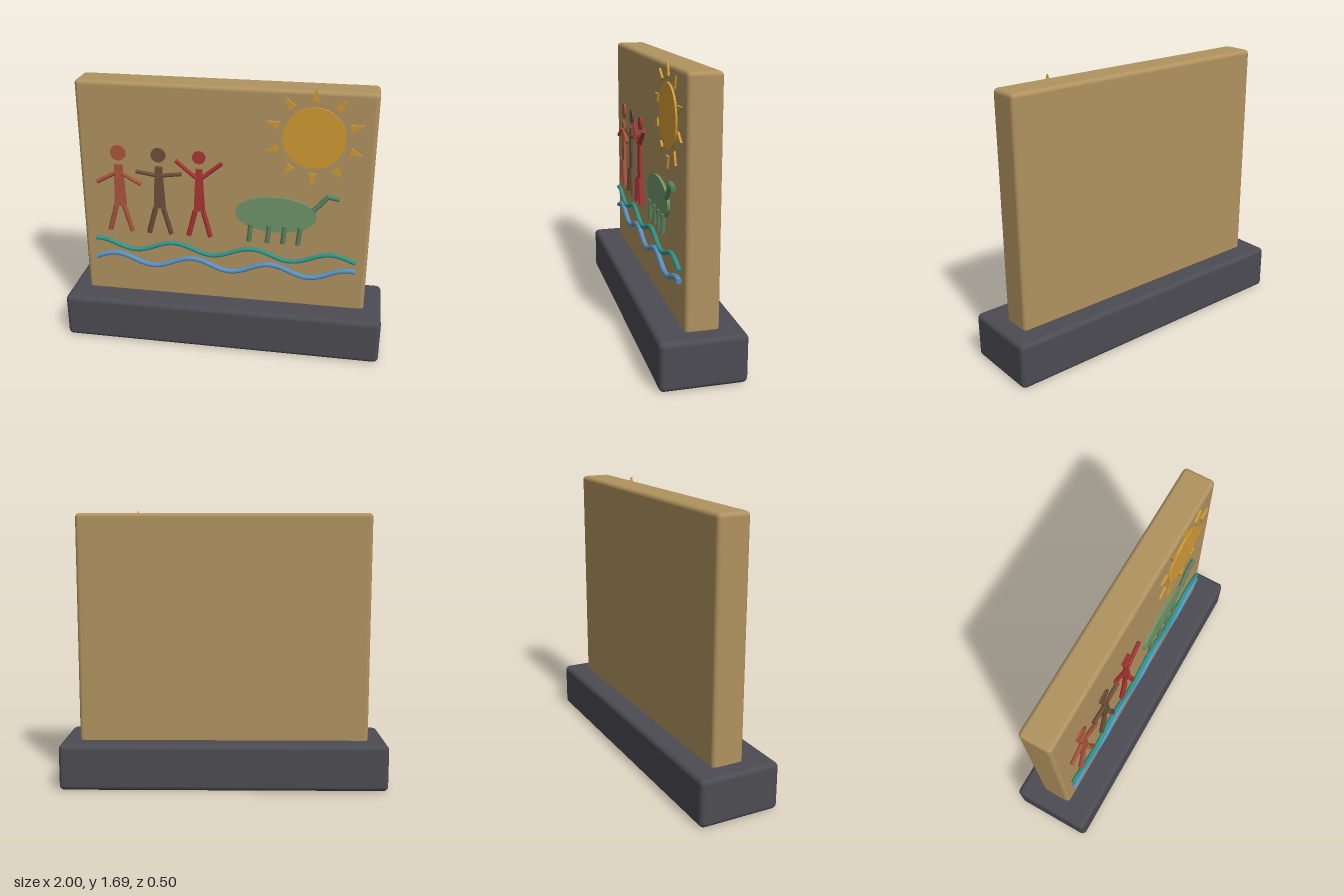
import * as THREE from 'three';
import { RoundedBoxGeometry } from 'three/addons/geometries/RoundedBoxGeometry.js';

const FACE = 0.08;    // front face of the slab
const RELIEF = 0.095; // centre depth of the raised rods

const paint = (color) => new THREE.MeshStandardMaterial({ color, roughness: 0.8 });

function add(parent, name, geometry, material, x = 0, y = 0, z = 0) {
  const mesh = new THREE.Mesh(geometry, material);
  mesh.name = name;
  mesh.position.set(x, y, z);
  parent.add(mesh);
  return mesh;
}

// Round rod between two points on the picture plane
function rod(parent, name, a, b, radius, material, endRadius = radius) {
  const dx = b[0] - a[0], dy = b[1] - a[1];
  const geometry = new THREE.CylinderGeometry(endRadius, radius, Math.hypot(dx, dy), 8);
  const mesh = add(parent, name, geometry, material, (a[0] + b[0]) / 2, (a[1] + b[1]) / 2, RELIEF);
  mesh.rotation.z = Math.atan2(dy, dx) - Math.PI / 2;
  return mesh;
}

// Flat disc or oval standing on the slab face
function disc(parent, name, x, y, rx, ry, thickness, material) {
  const geometry = new THREE.CylinderGeometry(1, 1, thickness, 32);
  geometry.rotateX(Math.PI / 2);
  geometry.scale(rx, ry, 1);
  return add(parent, name, geometry, material, x, y, FACE + thickness / 2);
}

// Flat plate cut from a polygon
function plate(parent, name, points, thickness, material) {
  const shape = new THREE.Shape(points.map(([x, y]) => new THREE.Vector2(x, y)));
  const geometry = new THREE.ExtrudeGeometry(shape, { depth: thickness, bevelEnabled: false });
  return add(parent, name, geometry, material, 0, 0, FACE);
}

function person({ x, color, head, neck, hip, hand, foot }) {
  const group = new THREE.Group();
  group.name = 'dancer';
  group.position.x = x;
  const material = paint(color);
  disc(group, 'head', 0, 1.232, head, head, 0.012, material);
  plate(group, 'torso', [[-hip, 0.885], [hip, 0.885], [neck, 1.158], [-neck, 1.158]], 0.018, material);
  for (const s of [-1, 1]) {
    rod(group, 'arm', [s * 0.018, 1.105], [s * hand[0], hand[1]], 0.013, material);
    rod(group, 'leg', [s * 0.024, 0.89], [s * foot, 0.718], 0.016, material);
  }
  return group;
}

function sun() {
  const group = new THREE.Group();
  group.name = 'sun';
  group.position.set(0.533, 1.393, 0);
  const material = paint(0xd09a35);
  disc(group, 'sunDisc', 0, 0, 0.184, 0.184, 0.012, material);
  for (let i = 0; i < 10; i++) {
    const ray = plate(group, 'sunRay', [[-0.024, 0.219], [0.024, 0.219], [0, 0.294]], 0.012, material);
    ray.rotation.z = (i / 10) * Math.PI * 2;
  }
  return group;
}

function animal() {
  const group = new THREE.Group();
  group.name = 'animal';
  const material = paint(0x6f9468), limb = paint(0x5d8460);
  disc(group, 'animalBody', 0.325, 0.895, 0.246, 0.115, 0.016, material);
  for (const x of [0.175, 0.288, 0.383, 0.476]) {
    rod(group, 'animalLeg', [x - 0.011, 0.707], [x, 0.825], 0.015, limb);
  }
  rod(group, 'animalNeck', [0.55, 0.94], [0.635, 1.04], 0.016, limb);
  rod(group, 'animalHead', [0.628, 1.04], [0.7, 1.026], 0.017, limb);
  return group;
}

// Capped tube following a sine wave across the slab
function wave(parent, name, y, amplitude, crest, radius, color) {
  const points = [], start = -0.815, end = 0.82;
  for (let i = 0; i <= 40; i++) {
    const x = start + ((end - start) * i) / 40;
    points.push(new THREE.Vector3(x, y + amplitude * Math.cos((2 * Math.PI * (x - crest)) / 0.49), RELIEF));
  }
  const material = paint(color);
  const curve = new THREE.CatmullRomCurve3(points);
  add(parent, name, new THREE.TubeGeometry(curve, 80, radius, 8), material);
  for (const t of [0, 1]) {
    const p = curve.getPoint(t), out = curve.getTangent(t).multiplyScalar(t ? 1 : -1);
    const cap = add(parent, name + 'End', new THREE.CircleGeometry(radius, 8), material, p.x, p.y, p.z);
    cap.quaternion.setFromUnitVectors(new THREE.Vector3(0, 0, 1), out);
  }
}

export function createModel() {
  const model = new THREE.Group();
  model.name = 'paintedStoneTablet';

  // Plinth and upright slab
  add(model, 'base', new RoundedBoxGeometry(2, 0.285, 0.495, 3, 0.03), paint(0x4b4b52), 0, 0.1425, 0);
  add(model, 'slab', new RoundedBoxGeometry(1.78, 1.41, 0.195, 3, 0.025), paint(0xb0925f), 0, 0.965, FACE - 0.0975);

  // Raised picture
  model.add(sun(), animal());
  const dancers = [
    { x: -0.643, color: 0xa8553d, head: 0.048, neck: 0.024, hip: 0.038, hand: [0.14, 1.037], foot: 0.072 },
    { x: -0.393, color: 0x6d4e3a, head: 0.045, neck: 0.021, hip: 0.036, hand: [0.14, 1.122], foot: 0.07 },
    { x: -0.144, color: 0xa83434, head: 0.04, neck: 0.019, hip: 0.034, hand: [0.14, 1.207], foot: 0.068 },
  ];
  for (const d of dancers) model.add(person(d));
  wave(model, 'upperWave', 0.62, 0.032, -0.8, 0.014, 0x2f9488);
  wave(model, 'lowerWave', 0.52, 0.034, -0.687, 0.016, 0x5a93c0);
  return model;
}
